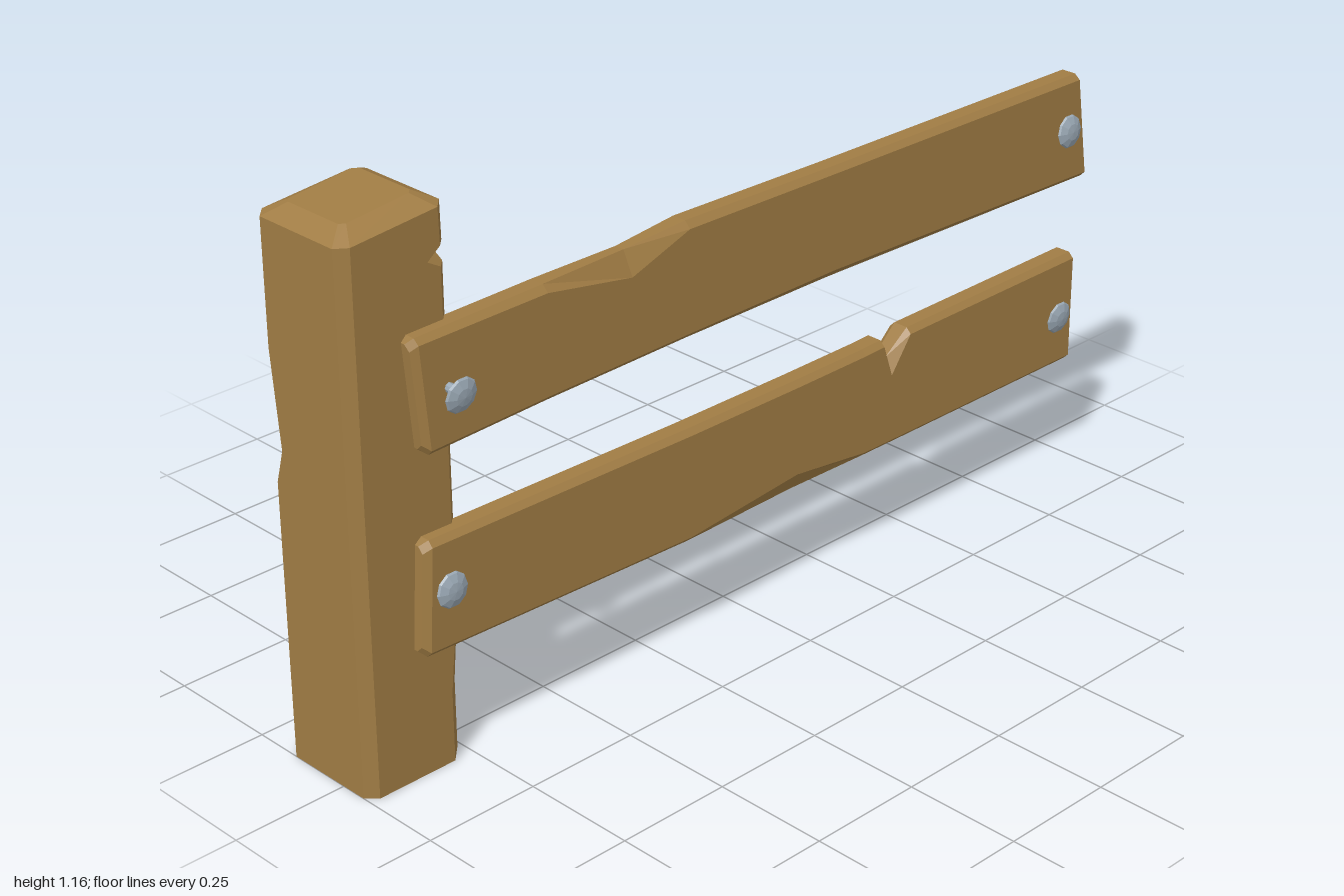
import * as THREE from 'three';

const wood = new THREE.MeshStandardMaterial({ color: 0xa07c44, flatShading: true });
const metal = new THREE.MeshStandardMaterial({ color: 0x9aa8b4, flatShading: true });

// Chamfered rectangle in (u, v); chamfers run u0v0, u1v0, u1v1, u0v1.
// w is a number or a rule of (u, v), so a section can be slanted.
function section(u0, u1, v0, v1, w, chamfers) {
  const [a, b, c, d] = chamfers.map((k) => (Array.isArray(k) ? k : [k, k]));
  return [
    [u0, v0 + a[1]], [u0 + a[0], v0], [u1 - b[0], v0], [u1, v0 + b[1]],
    [u1, v1 - c[1]], [u1 - c[0], v1], [u0 + d[0], v1], [u0, v1 - d[1]],
  ].map(([u, v]) => [u, v, typeof w === 'function' ? w(u, v) : w]);
}

// Skin the sections in order of rising w and close both ends.
function loft(sections, place) {
  const pos = [];
  const tri = (...pts) => pts.forEach((p) => pos.push(...place(p)));
  for (let s = 0; s < sections.length - 1; s++) {
    const lo = sections[s], hi = sections[s + 1];
    for (let i = 0; i < 8; i++) {
      const j = (i + 1) % 8;
      tri(lo[i], lo[j], hi[j]);
      tri(lo[i], hi[j], hi[i]);
    }
  }
  const first = sections[0], last = sections[sections.length - 1];
  for (let i = 1; i < 7; i++) {
    tri(first[0], first[i + 1], first[i]);
    tri(last[0], last[i], last[i + 1]);
  }
  const g = new THREE.BufferGeometry();
  g.setAttribute('position', new THREE.Float32BufferAttribute(pos, 3));
  g.computeVertexNormals();
  return g;
}

function addMesh(parent, name, geometry, material) {
  const m = new THREE.Mesh(geometry, material);
  m.name = name;
  parent.add(m);
  return m;
}

// Upright post: [height, front left chamfer, back right chamfer]
function postGeometry() {
  const c = 0.022;
  const rings = [
    [0, c, 0.035], [0.15, c, 0.035], [0.3, c, 0.02], [0.59, c, 0.02],
    [0.66, 0.042, 0.02], [0.86, c, 0.02], [1.02, c, 0.02],
    [1.037, c, 0.05], [1.06, c, 0.02],
  ].map(([y, fl, br]) => section(0.76, 1, -0.165, 0.08, y, [c, fl, c, br]));
  // sloping shoulder and bevelled cap
  rings.push(section(0.76, 1, -0.165, 0.08, (z) => 1.115 + 0.09 * (1 - z), [c, c, c, c]));
  rings.push(section(0.8, 0.96, -0.122, 0.037, (z) => 1.14 + 0.11 * (0.96 - z), [0.01, 0.01, 0.01, 0.01]));
  return loft(rings, ([z, x, y]) => [x, y, z]);
}

// Rail stations: [z, bottom, top, outer bottom chamfer, outer top chamfer, lean in z per unit of height]
function railGeometry(stations) {
  const c = 0.012, x0 = 0.055, x1 = 0.113;
  const ends = (n) => (n === 0 || n === stations.length - 1 ? c : 0);
  const rings = stations.map(([z, lo, hi, cb = c, ct = c, lean = 0], n) => {
    const e = ends(n), mid = (lo + hi) / 2;
    return section(x0 + e, x1 - e, lo + e, hi - e, (u, v) => z + lean * (v - mid), [c, cb, ct, c]);
  });
  return loft(rings, (p) => p);
}

// Nail along +x from its base: shaft and shallow domed head
function makeNail(name, y, z, reach, tilt) {
  const nail = new THREE.Group();
  nail.name = name;
  const shaft = addMesh(nail, 'nailShaft', new THREE.CylinderGeometry(0.01, 0.01, reach + 0.04, 8), metal);
  shaft.position.y = (reach - 0.04) / 2;
  const profile = [[0, 0], [0.03, 0], [0.037, 0.004], [0.034, 0.008], [0.018, 0.015], [0, 0.017]];
  const head = addMesh(nail, 'nailHead',
    new THREE.LatheGeometry(profile.map(([r, h]) => new THREE.Vector2(r, h)), 10), metal);
  head.position.y = reach;
  nail.position.set(0.112, y, z);
  nail.rotation.z = -Math.PI / 2 + tilt;
  return nail;
}

export function createModel() {
  const fence = new THREE.Group();
  fence.name = 'brokenFence';
  addMesh(fence, 'post', postGeometry(), wood);

  const c = 0.012;
  addMesh(fence, 'upperRail', railGeometry([
    [-0.982, 0.688, 0.925, c, c, 0.15],
    [-0.968, 0.684, 0.927, c, c, 0.15],
    [-0.2, 0.692, 0.932, 0.02, c],
    [0.2, 0.695, 0.938, c, 0.014],
    [0.35, 0.692, 0.922, c, [0.024, 0.05]],
    [0.56, 0.688, 0.922, c, 0.014],
    [0.855, 0.678, 0.916, c, c, 0.09],
    [0.868, 0.678, 0.916, c, c, 0.09],
  ]), wood);

  addMesh(fence, 'lowerRail', railGeometry([
    [-0.973, 0.258, 0.51],
    [-0.96, 0.256, 0.512],
    [-0.435, 0.254, 0.505],
    [-0.38, 0.254, 0.452, c, [0.02, 0.035]],
    [-0.355, 0.254, 0.502],
    [-0.3, 0.254, 0.5],
    [-0.1, 0.252, 0.498, [0.018, 0.038]],
    [0.2, 0.25, 0.498],
    [0.86, 0.268, 0.507, c, c, -0.06],
    [0.874, 0.268, 0.507, c, c, -0.06],
  ]), wood);

  // the first nail is half pulled out
  fence.add(
    makeNail('looseNail', 0.802, 0.8, 0.03, -0.12),
    makeNail('upperFarNail', 0.808, -0.92, 0.001, 0.08),
    makeNail('lowerNearNail', 0.395, 0.815, 0.001, 0.05),
    makeNail('lowerFarNail', 0.375, -0.915, 0.001, -0.08),
  );
  return fence;
}
